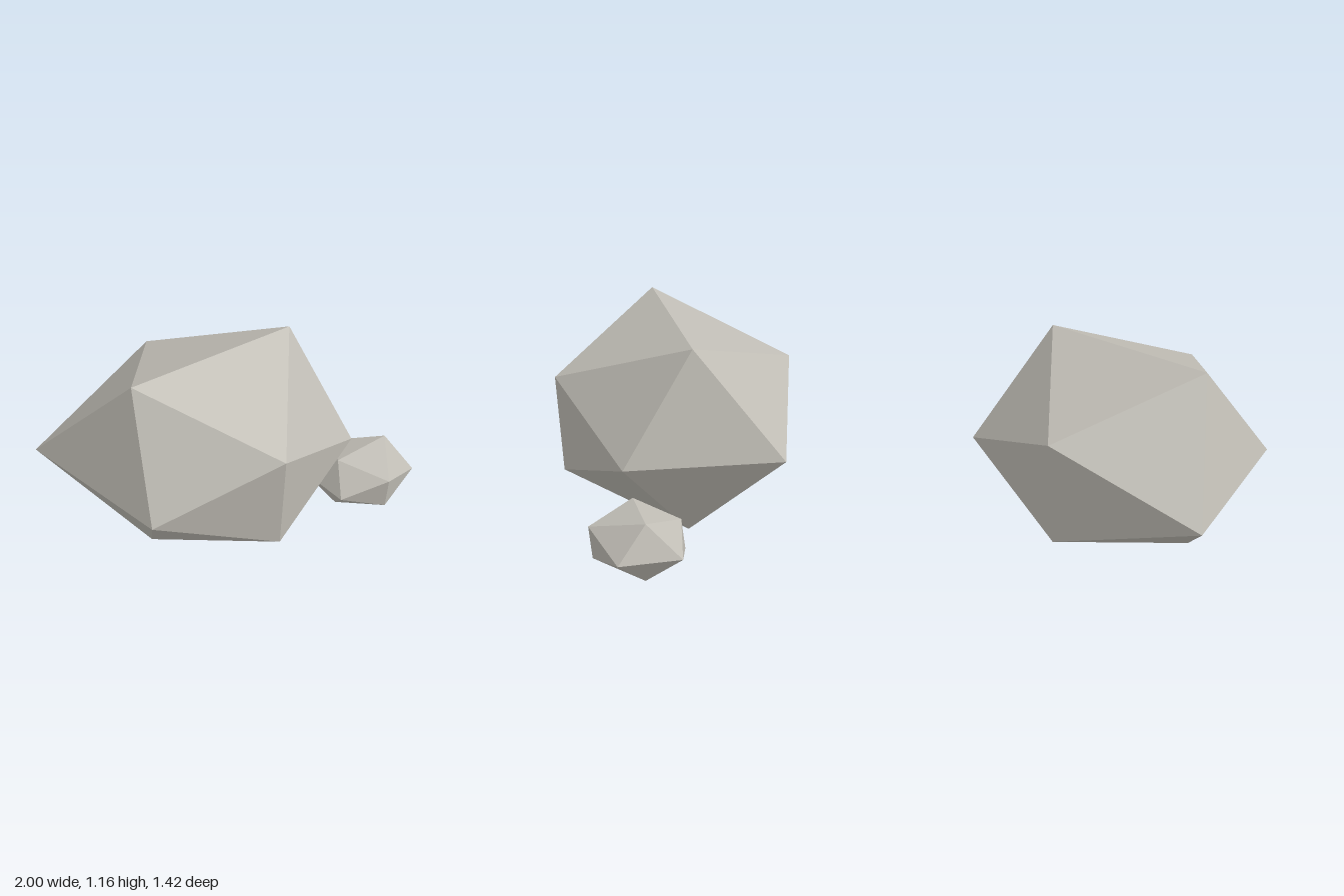
import * as THREE from 'three';

// Corner order, named by the sign of x, y, z on a regular icosahedron
const CORNERS = ['-+0', '++0', '--0', '+-0', '0-+', '0++', '0--', '0+-', '+0-', '+0+', '-0-', '-0+'];
const sign = v => (Math.abs(v) < 0.01 ? '0' : v < 0 ? '-' : '+');

// Icosahedron with each of its 12 corners moved to a chosen point
function makeRock(name, points, material) {
  const geometry = new THREE.IcosahedronGeometry(1, 0);
  const pos = geometry.attributes.position;
  for (let i = 0; i < pos.count; i++) {
    const key = sign(pos.getX(i)) + sign(pos.getY(i)) + sign(pos.getZ(i));
    pos.setXYZ(i, ...points[CORNERS.indexOf(key)]);
  }
  geometry.computeVertexNormals(); // unindexed, so every facet is flat
  const mesh = new THREE.Mesh(geometry, material);
  mesh.name = name;
  return mesh;
}

export function createModel() {
  const stone = new THREE.MeshStandardMaterial({ color: 0xbfbcb4 });
  stone.name = 'warm grey stone';

  const group = new THREE.Group();
  group.name = 'rocks';

  // Large boulder
  group.add(makeRock('boulder', [
    [-0.653, 1.163, 0.015], [0.423, 1.154, 0.015],
    [-0.565, 0.007, 0.015], [0.345, 0, 0.015],
    [-0.11, 0.242, 0.672], [-0.11, 0.842, 0.708],
    [-0.11, 0.219, -0.69], [-0.11, 0.855, -0.71],
    [0.665, 0.533, -0.465], [0.58, 0.533, 0.445],
    [-1, 0.533, -0.535], [-0.817, 0.533, 0.447],
  ], stone));

  // Small stone at its foot
  group.add(makeRock('smallStone', [
    [0.54, 0.345, 0.383], [0.904, 0.37, 0.383],
    [0.537, 0.015, 0.383], [0.887, 0.012, 0.383],
    [0.71, 0.088, 0.643], [0.71, 0.287, 0.663],
    [0.71, 0.085, 0.12], [0.71, 0.272, 0.144],
    [1, 0.183, 0.2], [0.998, 0.183, 0.555],
    [0.43, 0.183, 0.205], [0.45, 0.183, 0.538],
  ], stone));

  return group;
}
